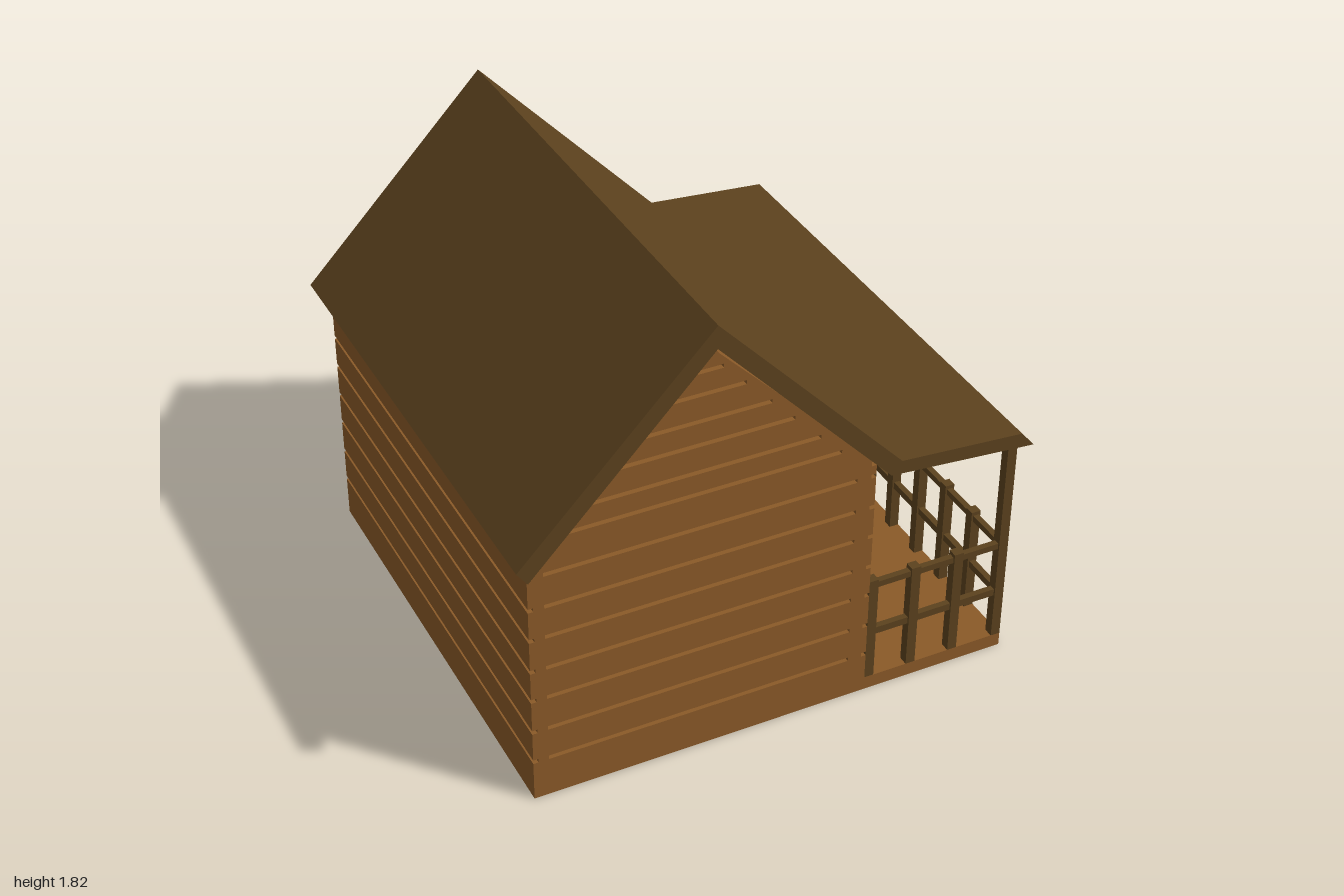
import * as THREE from 'three';

const WOOD = new THREE.MeshStandardMaterial({ color: 0x8b5a28, flatShading: true });
const DARK = new THREE.MeshStandardMaterial({ color: 0x5c421e, flatShading: true });

const FLOOR = 0.055;
const GAP = 0.016; // height of the groove between two logs
const GROOVES = [0.17, 0.305, 0.445, 0.575, 0.71, 0.84, 0.975];
const GABLE_GROOVES = [1.12, 1.21, 1.32, 1.415, 1.52, 1.61];

// Box given by its extents on each axis
function box(parent, name, mat, [x0, x1], [y0, y1], [z0, z1]) {
  const mesh = new THREE.Mesh(new THREE.BoxGeometry(x1 - x0, y1 - y0, z1 - z0), mat);
  mesh.position.set((x0 + x1) / 2, (y0 + y1) / 2, (z0 + z1) / 2);
  mesh.name = name;
  parent.add(mesh);
  return mesh;
}

function group(parent, name) {
  const g = new THREE.Group();
  g.name = name;
  parent.add(g);
  return g;
}

const shapeOf = (pts) => new THREE.Shape(pts.map(([x, y]) => new THREE.Vector2(x, y)));

function extrude(parent, name, mat, shape, z0, z1) {
  const geo = new THREE.ExtrudeGeometry(shape, { depth: z1 - z0, bevelEnabled: false });
  geo.translate(0, 0, z0);
  const mesh = new THREE.Mesh(geo, mat);
  mesh.name = name;
  parent.add(mesh);
}

// Stacked logs around a thinner core, for one rectangle of a side wall
function logPanel(parent, [x0, x1], [z0, z1], [y0, y1]) {
  box(parent, 'wallCore', WOOD, [x0 + 0.02, x1 - 0.02], [y0, y1], [z0, z1]);
  let bottom = 0;
  for (const g of [...GROOVES, 2]) {
    const lo = Math.max(bottom, y0), hi = Math.min(g - GAP / 2, y1);
    if (hi - lo > 0.001) box(parent, 'log', WOOD, [x0, x1], [lo, hi], [z0, z1]);
    bottom = g + GAP / 2;
  }
}

// Gabled end wall: grooved outer layer over a plain core
function endWall(parent, name, side) {
  const g = group(parent, name);
  const outline = [[-0.92, FLOOR], [0.365, FLOOR], [0.365, 1.05], [0, 1.425],
    [-0.24, 1.665], [-0.275, 1.72], [-0.92, 1.045]];
  const face = shapeOf(outline);
  const slot = (x0, x1, y) => face.holes.push(new THREE.Path([
    [x0, y - GAP / 2], [x0, y + GAP / 2], [x1, y + GAP / 2], [x1, y - GAP / 2],
  ].map(([a, b]) => new THREE.Vector2(a, b))));
  for (const y of GROOVES) slot(-0.88, 0.31, y);
  for (const y of GABLE_GROOVES) {
    const half = (1.7 - y) / 1.06 - 0.03;
    slot(-0.275 - half, -0.275 + half, y);
  }
  const [a, b] = side > 0 ? [0.91, 0.93] : [-0.93, -0.91];
  const [c, d] = side > 0 ? [0.87, 0.91] : [-0.91, -0.87];
  extrude(g, 'groovedFace', WOOD, face, a, b);
  extrude(g, 'wallCore', WOOD, shapeOf(outline), c, d);
}

export function createModel() {
  const cabin = new THREE.Group();
  cabin.name = 'cabin';

  box(cabin, 'floor', WOOD, [-0.94, 0.97], [0, FLOOR], [-0.93, 0.93]);

  // Walls
  endWall(cabin, 'frontWall', 1);
  endWall(cabin, 'backWall', -1);
  logPanel(group(cabin, 'rightWall'), [-0.94, -0.87], [-0.93, 0.93], [FLOOR, 1.02]);
  const porchWall = group(cabin, 'porchWall');
  for (const [z, y] of [
    [[-0.93, -0.65], [FLOOR, 1.02]], [[-0.65, -0.06], [0.96, 1.02]],
    [[-0.06, 0.15], [FLOOR, 1.02]], [[0.15, 0.62], [FLOOR, 0.43]],
    [[0.15, 0.62], [0.96, 1.02]], [[0.62, 0.93], [FLOOR, 1.02]],
  ]) logPanel(porchWall, [0.315, 0.385], z, y);

  // Door frame
  const door = group(cabin, 'doorFrame');
  const frameX = [0.31, 0.392];
  box(door, 'doorJamb', DARK, frameX, [FLOOR, 0.99], [-0.67, -0.632]);
  box(door, 'doorJamb', DARK, frameX, [FLOOR, 0.99], [-0.08, -0.042]);
  box(door, 'doorLintel', DARK, frameX, [0.952, 0.99], [-0.632, -0.08]);

  // Window frame
  const win = group(cabin, 'windowFrame');
  box(win, 'windowSill', DARK, frameX, [0.41, 0.455], [0.13, 0.645]);
  box(win, 'windowHead', DARK, frameX, [0.952, 0.99], [0.13, 0.645]);
  for (const z of [0.13, 0.61]) box(win, 'windowJamb', DARK, frameX, [0.455, 0.952], [z, z + 0.035]);
  box(win, 'windowMullion', DARK, [0.335, 0.365], [0.455, 0.952], [0.37, 0.4]);
  box(win, 'windowCrossbar', DARK, [0.335, 0.365], [0.69, 0.72], [0.165, 0.61]);

  // Roof with the porch cover in one bent sheet
  extrude(cabin, 'roof', DARK, shapeOf([
    [-1, 1.06], [-0.96, 1.005], [-0.275, 1.725], [0.41, 1.005], [0.995, 0.955],
    [0.942, 1.018], [0.45, 1.055], [-0.275, 1.815],
  ]), -0.99, 0.99);

  // Porch posts
  const porch = group(cabin, 'porch');
  for (const z of [-0.911, -0.02, 0.911]) {
    box(porch, 'porchPost', DARK, [0.932, 0.97], [FLOOR, 0.975], [z - 0.019, z + 0.019]);
  }

  // Railings: balusters and two rails per run
  const baluster = (x, z) => box(porch, 'baluster', DARK,
    [x - 0.019, x + 0.019], [FLOOR, 0.5], [z - 0.019, z + 0.019]);
  const rails = (x, z) => {
    box(porch, 'topRail', DARK, x, [0.46, 0.485], z);
    box(porch, 'lowerRail', DARK, x, [0.243, 0.272], z);
  };
  for (const z of [-0.911, 0.911]) {
    for (const x of [0.404, 0.58, 0.76]) baluster(x, z);
    rails([0.385, 0.94], [z - 0.012, z + 0.012]);
  }
  for (const z of [0.72, 0.535, 0.35, 0.163, -0.677]) baluster(0.951, z);
  rails([0.939, 0.963], [-0.02, 0.911]);
  rails([0.939, 0.963], [-0.911, -0.677]);

  return cabin;
}
